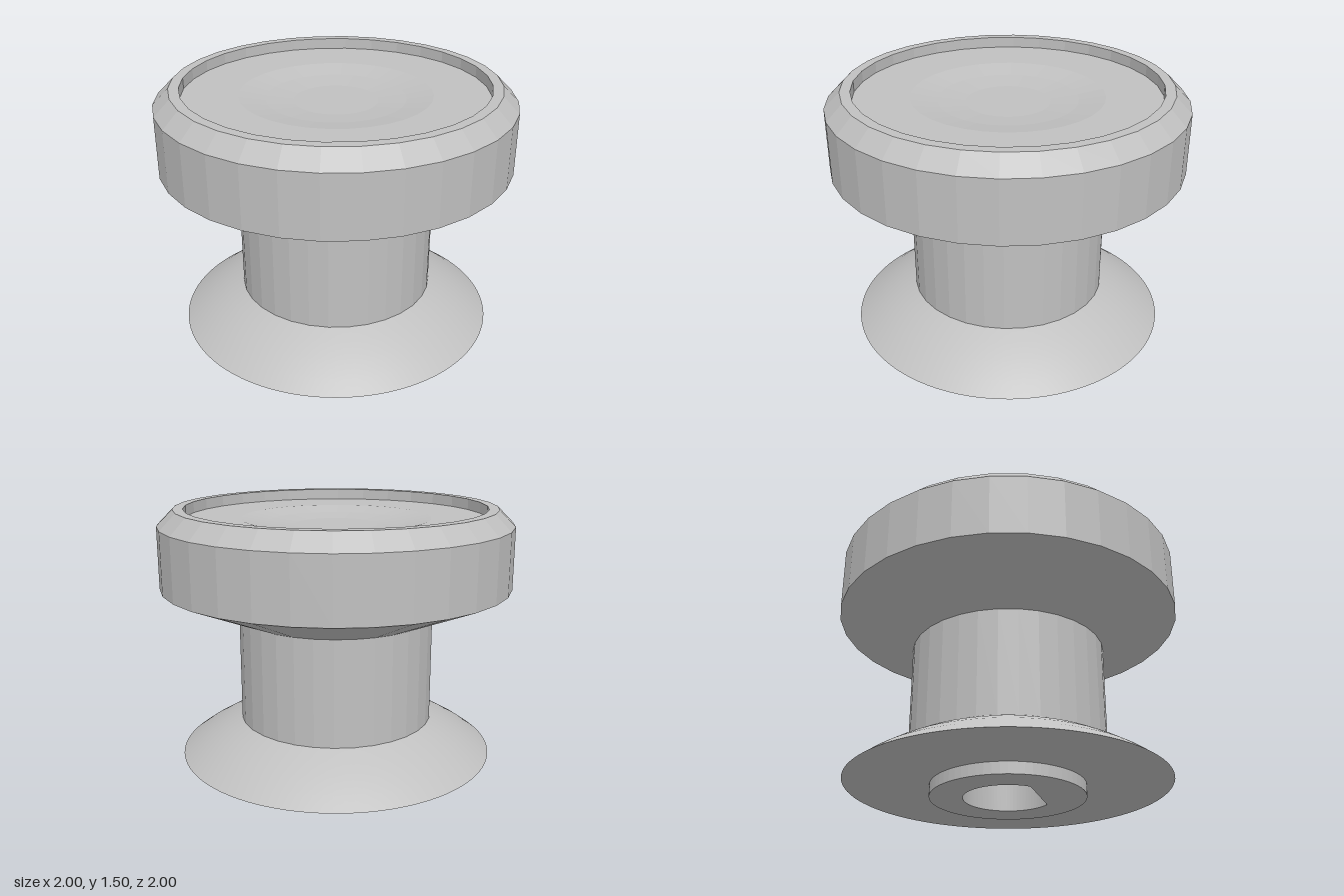
import * as THREE from 'three';

export function createModel() {
  const group = new THREE.Group();
  const grey = new THREE.MeshStandardMaterial({ color: 0xc0c0c0 });
  grey.name = 'plain grey';

  const add = (name, geometry) => {
    const mesh = new THREE.Mesh(geometry, grey);
    mesh.name = name;
    group.add(mesh);
    return mesh;
  };

  // Turned part from [radius, height] pairs, outside running bottom to top
  const turn = (profile, sides) =>
    new THREE.LatheGeometry(profile.map(([r, y]) => new THREE.Vector2(r, y)), sides);

  // Turned part with visible facets
  const facet = (profile, sides = 32) => {
    const g = turn(profile, sides).toNonIndexed();
    g.computeVertexNormals();
    return g;
  };

  // Head: flared underside, straight rim, chamfer, lip and recess wall
  add('head', facet([
    [0.56, 0.88], [1, 1.065], [1, 1.415], [0.91, 1.505], [0.853, 1.505], [0.853, 1.442],
  ]));

  // Recessed face with a shallow finger dish
  add('dishedFace', facet([
    [0.853, 1.442], [0.538, 1.442], [0.39, 1.417], [0.235, 1.402], [0, 1.402],
  ]));

  // Neck between head and skirt
  add('neck', facet([[0.562, 0.265], [0.562, 0.885]]));

  // Smooth, gently domed skirt and its flat underside
  add('skirt', turn([
    [0.912, 0.067], [0.83, 0.127], [0.74, 0.182], [0.65, 0.23], [0.56, 0.27],
  ], 96));
  add('skirtUnderside', turn([[0.4, 0.067], [0.912, 0.067]], 96));

  // Boss with a D-shaped shaft socket, flat towards the front
  const boss = new THREE.Shape().absarc(0, 0, 0.436, 0, Math.PI * 2, false);
  const socket = new THREE.Path().absarc(0, 0, 0.25, -Math.PI / 4, Math.PI * 1.25, false);
  socket.closePath();
  boss.holes.push(socket);
  const bossGeometry = new THREE.ExtrudeGeometry(boss, {
    depth: 0.8, bevelEnabled: false, curveSegments: 32,
  });
  bossGeometry.rotateX(-Math.PI / 2);
  add('shaftBoss', bossGeometry);

  // Closed end of the socket
  add('socketEnd', new THREE.CircleGeometry(0.3, 32).rotateX(Math.PI / 2)).position.y = 0.79;

  return group;
}
